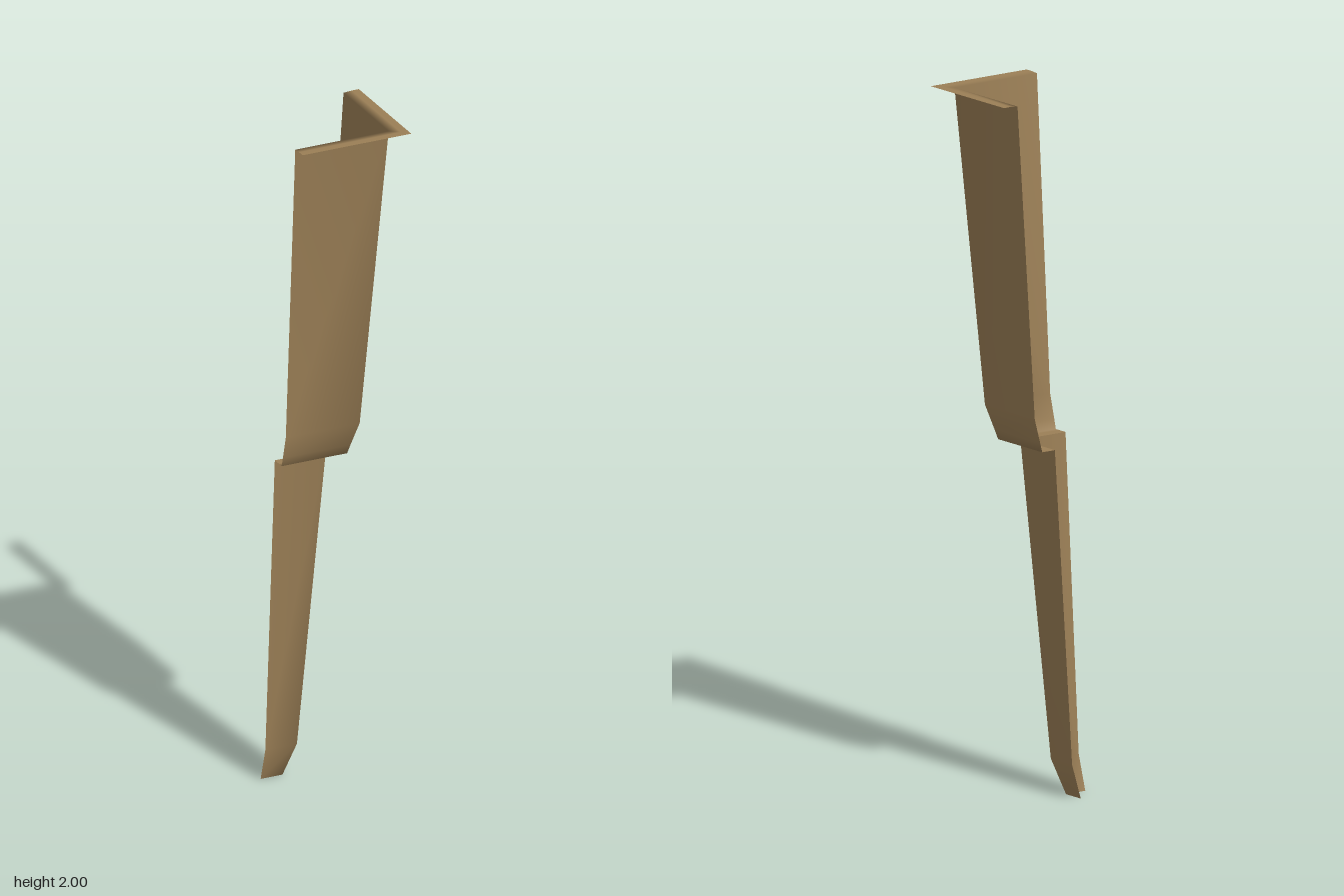
import * as THREE from 'three';

const BACK = -0.167; // both walls end on these open planes

// Sweeps an [offset, height] profile around the corner: front wall, corner edge, side wall.
function cornerShell(name, profile, material) {
  const positions = [];
  const index = [];
  for (const [p, y] of profile) {
    positions.push(BACK, y, p, p, y, p, p, y, BACK);
  }
  for (let row = 0; row < profile.length - 1; row++) {
    for (let col = 0; col < 2; col++) {
      const a = row * 3 + col;
      index.push(a, a + 1, a + 4, a, a + 4, a + 3);
    }
  }
  const geometry = new THREE.BufferGeometry();
  geometry.setAttribute('position', new THREE.Float32BufferAttribute(positions, 3));
  geometry.setIndex(index);
  geometry.computeVertexNormals();
  const mesh = new THREE.Mesh(geometry, material);
  mesh.name = name;
  return mesh;
}

export function createModel() {
  const group = new THREE.Group();
  group.name = 'cornerPost';
  const tan = new THREE.MeshStandardMaterial({ color: 0x9b7f56, side: THREE.DoubleSide });
  tan.name = 'tan';

  // Lower tier: narrow foot flaring up to the step
  group.add(cornerShell('lowerShell', [
    [-0.1, 0], [-0.07, 0.1], [-0.01, 1.003],
  ], tan));

  // Upper tier: step, flared wall and flat rim
  group.add(cornerShell('upperShell', [
    [-0.01, 1.003], [0.015, 1.003], [0.034, 1.003], [0.041, 1.03],
    [0.06, 1.1], [0.12, 1.998], [0.145, 2], [0.167, 2],
  ], tan));

  return group;
}
